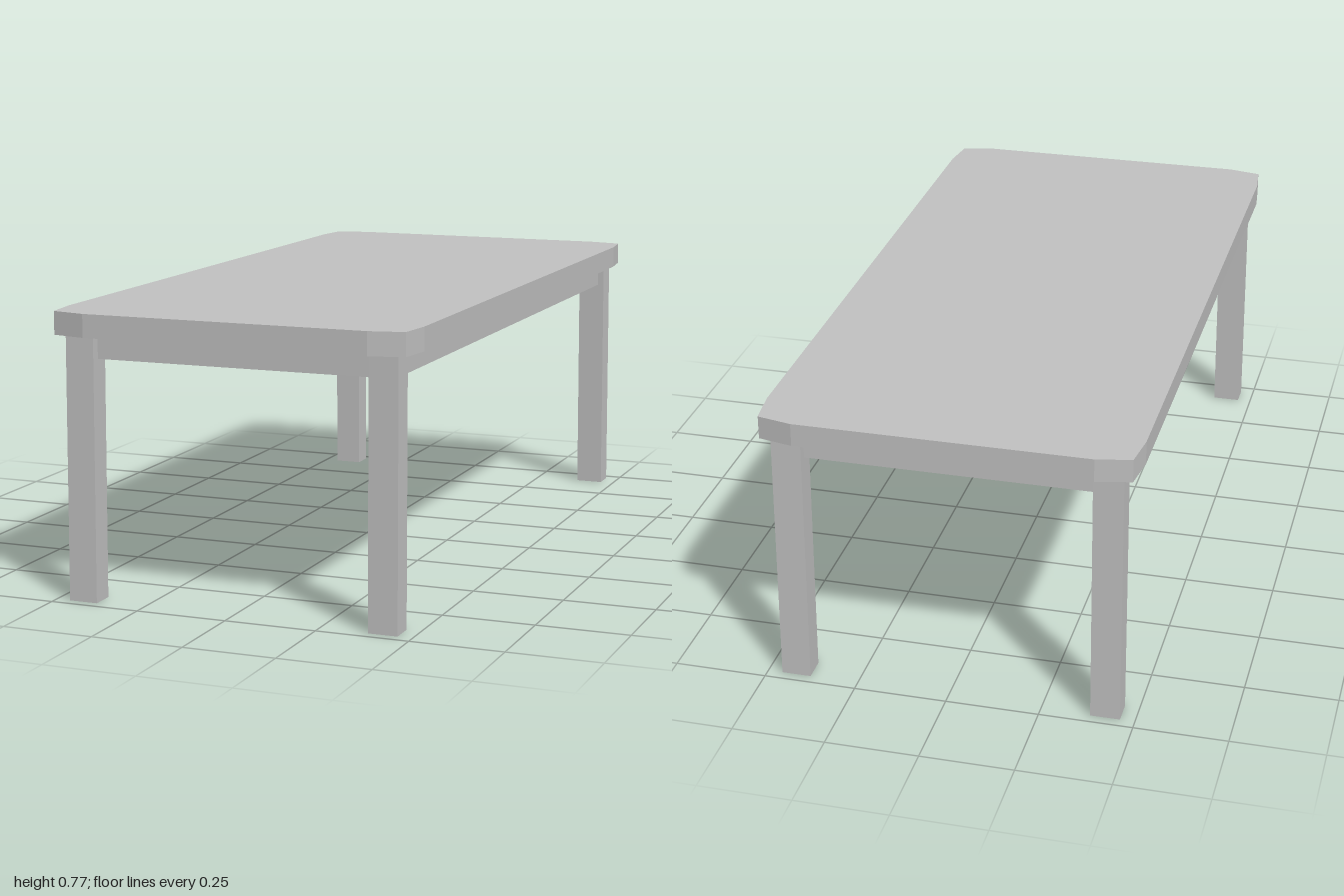
import * as THREE from 'three';

export function createModel() {
  const group = new THREE.Group();
  const grey = new THREE.MeshStandardMaterial({ color: 0xc2c2c2 });
  grey.name = 'plain grey';

  const add = (name, geometry, x, y, z) => {
    const mesh = new THREE.Mesh(geometry, grey);
    mesh.name = name;
    mesh.position.set(x, y, z);
    group.add(mesh);
  };

  // Tabletop: rectangle with each corner cut by three facets
  const corner = [[0.495, 0.88], [0.483, 0.98], [0.39, 1]];
  const flipped = [...corner].reverse();
  const outline = [
    ...corner,
    ...flipped.map(([x, z]) => [-x, z]),
    ...corner.map(([x, z]) => [-x, -z]),
    ...flipped.map(([x, z]) => [x, -z]),
  ];
  const shape = new THREE.Shape(outline.map(([x, z]) => new THREE.Vector2(x, z)));
  const top = new THREE.ExtrudeGeometry(shape, { depth: 0.062, bevelEnabled: false });
  top.rotateX(-Math.PI / 2);
  add('tabletop', top, 0, 0.708, 0);

  // Apron: solid block under the top, set back from the legs' outer faces
  add('apron', new THREE.BoxGeometry(0.88, 0.064, 1.88), 0, 0.677, 0);

  // Legs: square posts leaning out very slightly towards the floor
  const legHeight = 0.708;
  for (const sx of [-1, 1]) {
    for (const sz of [-1, 1]) {
      const leg = new THREE.BoxGeometry(0.079, legHeight, 0.065);
      const p = leg.attributes.position;
      for (let i = 0; i < p.count; i++) {
        if (p.getY(i) < 0) {
          p.setX(i, p.getX(i) + sx * 0.002);
          p.setZ(i, p.getZ(i) + sz * 0.008);
        }
      }
      leg.computeVertexNormals();
      const name = (sz > 0 ? 'front' : 'back') + (sx > 0 ? 'Left' : 'Right') + 'Leg';
      add(name, leg, sx * 0.419, legHeight / 2, sz * 0.932);
    }
  }
  return group;
}
